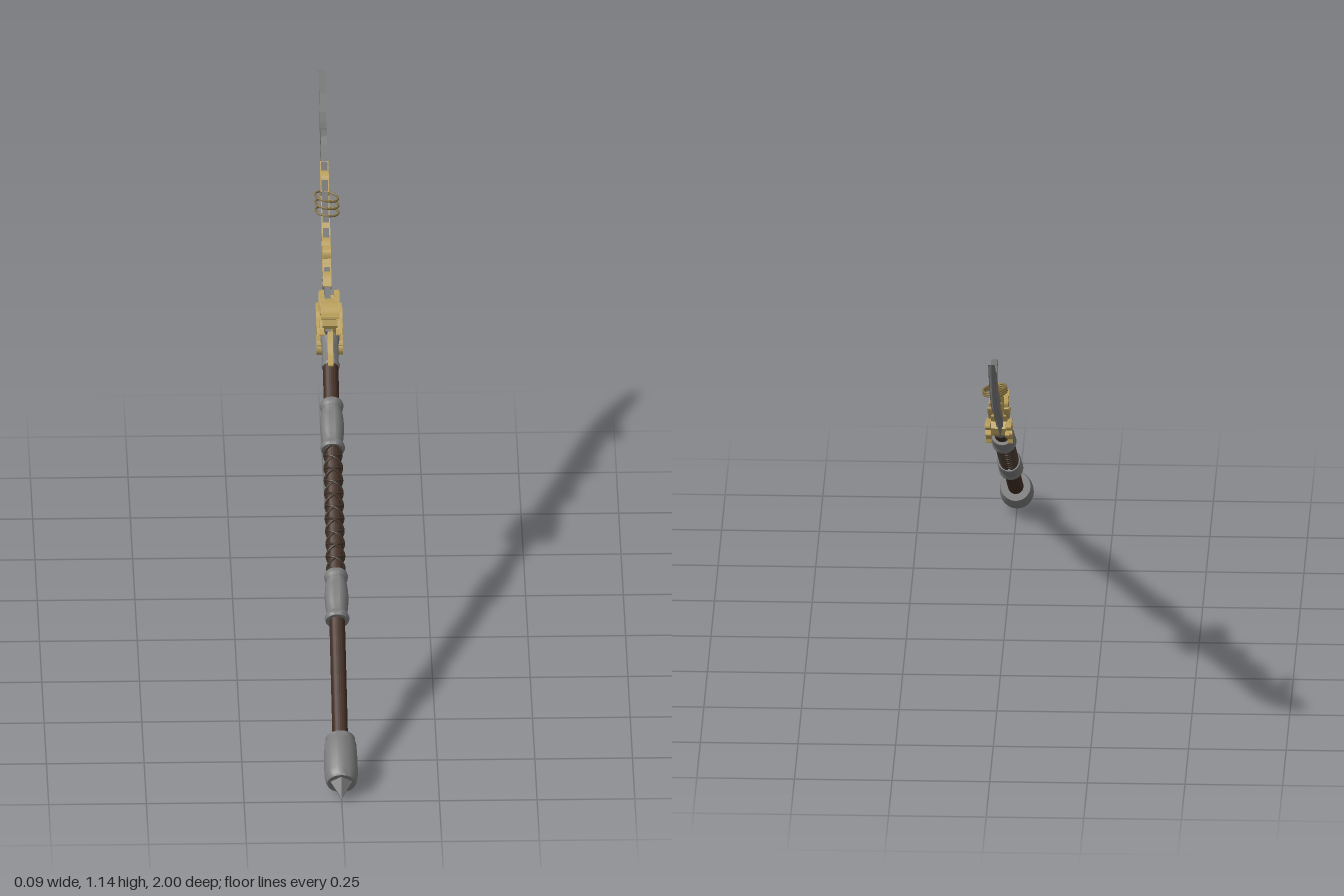
import * as THREE from 'three';
import { toCreasedNormals } from 'three/addons/utils/BufferGeometryUtils.js';

const mat = (name, color) => {
  const m = new THREE.MeshStandardMaterial({ color });
  m.name = name;
  return m;
};

export function createModel() {
  const steel = mat('steel', 0x7b7b7b);
  const bladeSteel = mat('bladeSteel', 0x727272);
  const wood = mat('darkWood', 0x422e24);
  const cord = mat('darkCord', 0x40342a);
  const gold = mat('gold', 0xbaa05c);
  const bronze = mat('bronze', 0x84703f);

  // Weapon space: x runs along the shaft, y towards the blade's back, z across
  const weapon = new THREE.Group();
  weapon.name = 'polearm';
  const lean = 0.494, s = Math.sin(lean), c = Math.cos(lean);
  const add = (name, geo, material, parent = weapon) => {
    const mesh = new THREE.Mesh(geo, material);
    mesh.name = name;
    parent.add(mesh);
    return mesh;
  };
  const group = (name) => {
    const g = new THREE.Group();
    g.name = name;
    weapon.add(g);
    return g;
  };
  const vec2 = (pts) => pts.map(([x, y]) => new THREE.Vector2(x, y));

  // Turned part: profile of [position along shaft, radius]
  const turned = (name, profile, material) => {
    const geo = new THREE.LatheGeometry(profile.map(([u, r]) => new THREE.Vector2(r, u)), 24);
    geo.rotateZ(-Math.PI / 2);
    return add(name, toCreasedNormals(geo, 0.6), material);
  };
  // Flat outline extruded evenly about z
  const plate = (name, pts, depth, z, material, parent) => {
    const geo = new THREE.ExtrudeGeometry(new THREE.Shape(vec2(pts)), { depth, bevelEnabled: false });
    geo.translate(0, 0, z - depth / 2);
    return add(name, geo, material, parent);
  };
  // Tapered scroll following a curve
  const scroll = (name, pts, width, depth, z, parent) => {
    const curve = new THREE.SplineCurve(vec2(pts));
    const a = [], b = [], n = 20;
    for (let i = 0; i <= n; i++) {
      const t = i / n, p = curve.getPoint(t), d = curve.getTangent(t);
      const w = width * (0.2 + 0.8 * Math.pow(1 - t, 0.7)) / 2;
      a.push([p.x - d.y * w, p.y + d.x * w]);
      b.push([p.x + d.y * w, p.y - d.x * w]);
    }
    return plate(name, [...b, ...a.reverse()], depth, z, gold, parent);
  };

  // Shaft and pommel
  turned('shaft', [[0.17, 0], [0.17, 0.02], [1.4, 0.02], [1.4, 0]], wood);
  turned('pommel', [[0.048, 0], [0.048, 0.036], [0.056, 0.04], [0.075, 0.043], [0.12, 0.043],
    [0.172, 0.041], [0.178, 0.038], [0.19, 0.038], [0.19, 0.019]], steel);
  const spike = new THREE.ConeGeometry(0.034, 0.056, 5).toNonIndexed();
  spike.computeVertexNormals();
  spike.rotateZ(Math.PI / 2).rotateX(-Math.PI / 2).translate(0.028, 0, 0);
  add('pommelSpike', spike, steel);

  // Two collars with raised lips
  for (const [name, u] of [['lowerCollar', 0.568], ['upperCollar', 1.115]]) {
    turned(name, [[0, 0.019], [0, 0.029], [0.008, 0.032], [0.018, 0.029], [0.022, 0.026], [0.045, 0.029],
      [0.075, 0.031], [0.105, 0.029], [0.128, 0.026], [0.132, 0.029], [0.142, 0.031], [0.152, 0.028],
      [0.152, 0.019]].map(([x, r]) => [u + x, r]), steel);
  }

  // Corded grip: crossed spirals over the shaft
  const grip = group('grip');
  for (const turn of [1, -1]) for (const start of [0, Math.PI]) {
    const pts = [];
    for (let i = 0; i <= 120; i++) {
      const t = i / 120, a = start + turn * t * Math.PI * 10;
      pts.push(new THREE.Vector3(0.715 + t * 0.405, Math.cos(a) * 0.022, Math.sin(a) * 0.022));
    }
    add('gripCord', new THREE.TubeGeometry(new THREE.CatmullRomCurve3(pts), 220, 0.0034, 6), cord, grip);
  }

  // Neck socket
  turned('neckSocket', [[1.38, 0.019], [1.38, 0.022], [1.388, 0.024], [1.396, 0.021], [1.44, 0.021],
    [1.475, 0.025], [1.5, 0.025], [1.52, 0.012], [1.52, 0]], steel);

  // Blade: thick back, then a small step down to the ground edge
  const blade = group('blade');
  const bx = -0.004, half = 0.008;
  const edge = [[1.47, -0.034], [1.56, -0.04], [1.68, -0.036], [1.81, -0.034], [1.93, -0.039], [2.04, -0.041],
    [2.11, -0.034], [2.17, -0.022], [2.225, -0.004], [2.26, 0.013], [2.298, 0.051]];
  const ridge = [[1.47, -0.012], [1.56, -0.019], [1.68, -0.018], [1.81, -0.017], [1.93, -0.022], [2.04, -0.022],
    [2.11, -0.012], [2.165, 0.002], [2.215, 0.018], [2.25, 0.031], [2.296, 0.052]];
  const back = [[2.22, 0.052], [2.165, 0.047], [2.13, 0.049], [2.105, 0.059], [2.09, 0.076], [2.07, 0.093],
    [2.05, 0.096], [2.03, 0.088], [2.052, 0.079], [2.061, 0.066], [2.057, 0.052], [2.04, 0.044], [2.007, 0.041],
    [1.9, 0.049], [1.8, 0.052], [1.65, 0.046], [1.47, 0.035]];
  plate('bladeBack', [...ridge, ...back], half * 2, bx, bladeSteel, blade);
  const pos = [];
  for (let i = 0; i < edge.length - 1; i++) for (const side of [1, -1]) {
    const e0 = [...edge[i], bx], e1 = [...edge[i + 1], bx];
    const z = bx + side * half * 0.8;
    const r0 = [...ridge[i], z], r1 = [...ridge[i + 1], z];
    pos.push(...(side > 0 ? [e0, e1, r1, e0, r1, r0] : [e0, r1, e1, e0, r0, r1]).flat());
  }
  const ground = new THREE.BufferGeometry();
  ground.setAttribute('position', new THREE.Float32BufferAttribute(pos, 3));
  ground.computeVertexNormals();
  add('bladeEdge', ground, bladeSteel, blade);

  // Guard: beast-like openwork head, a solid core carrying curled side pieces
  const guard = group('guard');
  plate('guardCore', [[1.485, -0.03], [1.535, -0.034], [1.55, -0.022], [1.578, -0.024], [1.572, -0.004],
    [1.59, 0.006], [1.57, 0.016], [1.588, 0.034], [1.555, 0.034], [1.54, 0.052], [1.51, 0.046],
    [1.5, 0.06], [1.48, 0.045], [1.475, 0.012]], 0.038, 0, gold, guard);
  const sidePieces = [
    ['guardHorn', [[1.54, 0.026], [1.5, 0.036], [1.475, 0.032], [1.452, 0.044]], 0.02, 0.012, 0.021],
    ['guardBrow', [[1.5, 0.012], [1.55, 0.024], [1.58, 0.016], [1.605, 0.026]], 0.018, 0.012, 0.021],
    ['guardMane', [[1.52, 0.04], [1.55, 0.052], [1.575, 0.044], [1.6, 0.038]], 0.016, 0.012, 0.019],
    ['guardJaw', [[1.5, -0.003], [1.54, -0.014], [1.57, -0.01], [1.605, -0.024]], 0.022, 0.014, 0.027],
    ['guardFang', [[1.52, -0.02], [1.49, -0.026], [1.465, -0.03], [1.458, -0.046]], 0.024, 0.014, 0.027],
    ['guardCheek', [[1.52, 0.004], [1.49, 0.006], [1.465, -0.006], [1.45, 0.002]], 0.016, 0.012, 0.027],
    ['guardChin', [[1.53, -0.026], [1.55, -0.04], [1.575, -0.034], [1.59, -0.042]], 0.014, 0.012, 0.024],
  ];
  for (const side of [1, -1]) for (const [name, pts, width, depth, z] of sidePieces) {
    scroll(name, pts, width, depth, side * z, guard);
  }
  scroll('guardCrest', [[1.56, 0.036], [1.53, 0.058], [1.5, 0.064], [1.474, 0.088]], 0.026, 0.046, 0, guard);
  scroll('neckTail', [[1.49, 0.026], [1.44, 0.029], [1.4, 0.024], [1.36, 0.034]], 0.016, 0.014, 0, guard);

  // Gilded scrollwork wrapped over the blade's back
  const scrollwork = group('scrollwork');
  const scrolls = [
    [[1.61, 0.036], [1.635, 0.045], [1.66, 0.04], [1.69, 0.052]],
    [[1.645, 0.022], [1.69, 0.034], [1.72, 0.058], [1.7, 0.07], [1.685, 0.06]],
    [[1.635, 0.006], [1.68, 0.006], [1.71, 0.02], [1.75, 0.016]],
    [[1.7, 0.035], [1.74, 0.05], [1.77, 0.042], [1.805, 0.054]],
    [[1.72, 0.014], [1.76, 0.008], [1.79, 0.018], [1.775, 0.03]],
    [[1.77, 0.035], [1.8, 0.026], [1.83, 0.036], [1.86, 0.028]],
    [[1.85, 0.03], [1.88, 0.038], [1.905, 0.03], [1.925, 0.036]],
    [[1.905, 0.04], [1.935, 0.032], [1.96, 0.044], [1.985, 0.038]],
    [[1.945, 0.032], [1.97, 0.04], [1.99, 0.028], [2.012, 0.04]],
  ];
  for (const pts of scrolls) scroll('gildedScroll', pts, 0.018, 0.022, bx, scrollwork);

  // Loose rings through the blade's back, hanging level with a slight sideways tilt
  const rings = group('rings');
  const forward = new THREE.Vector3(0, 0, 1);
  for (let i = 0; i < 3; i++) {
    const ring = add('ring', new THREE.TorusGeometry(0.03, 0.0028, 8, 28), bronze, rings);
    const tilt = 0.17 + (i - 1) * 0.03;
    const normal = new THREE.Vector3(s * Math.cos(tilt), c * Math.cos(tilt), Math.sin(tilt));
    ring.quaternion.setFromUnitVectors(forward, normal);
    ring.position.set(1.855 + i * 0.022, 0.036 + i * 0.002, 0);
  }

  // Lean the whole weapon, blade up and to the rear
  weapon.applyMatrix4(new THREE.Matrix4().makeBasis(new THREE.Vector3(0, s, -c), new THREE.Vector3(0, c, s),
    new THREE.Vector3(1, 0, 0)).setPosition(0, 0.012, 1));
  const model = new THREE.Group();
  model.name = 'model';
  model.add(weapon);
  return model;
}
